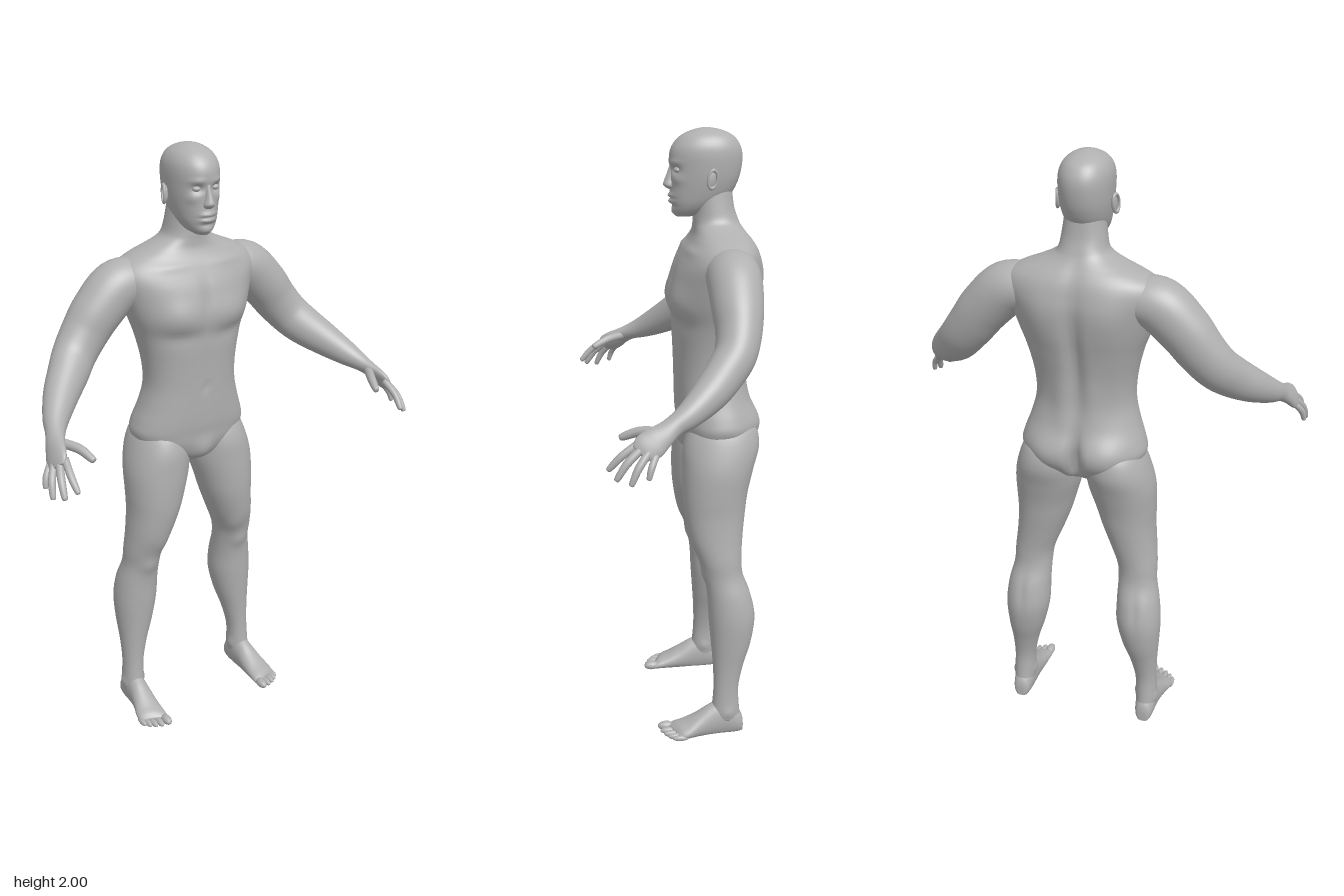
import * as THREE from 'three';

const V = (x, y, z) => new THREE.Vector3(x, y, z);
const TAU = Math.PI * 2;

// Catmull-Rom resampling of a table of section rows
function smooth(rows, k) {
  const out = [], at = i => rows[Math.min(rows.length - 1, Math.max(0, i))];
  for (let i = 0; i < rows.length - 1; i++) {
    const [a, b, c, d] = [at(i - 1), at(i), at(i + 1), at(i + 2)];
    for (let s = 0; s < k; s++) {
      const t = s / k;
      out.push(b.map((p, n) => 0.5 * (2 * p + (c[n] - a[n]) * t
        + (2 * a[n] - 5 * p + 4 * c[n] - d[n]) * t * t
        + (3 * p - a[n] - 3 * c[n] + d[n]) * t * t * t)));
    }
  }
  out.push(rows[rows.length - 1]);
  return out;
}

// Closed skin over a list of rings
function skin(rings) {
  const n = rings[0].length, m = rings.length, index = [];
  const pts = rings.flat();
  for (let j = 0; j < m - 1; j++) {
    for (let i = 0; i < n; i++) {
      const a = j * n + i, b = j * n + (i + 1) % n;
      index.push(a, a + n, b, b, a + n, b + n);
    }
  }
  const middle = ring => ring.reduce((s, p) => s.add(p), V(0, 0, 0)).divideScalar(n);
  pts.push(middle(rings[0]), middle(rings[m - 1]));
  for (let i = 0; i < n; i++) {
    const k = (i + 1) % n, top = (m - 1) * n;
    index.push(m * n, i, k, m * n + 1, top + k, top + i);
  }
  const geo = new THREE.BufferGeometry().setFromPoints(pts);
  geo.setIndex(index);
  geo.computeVertexNormals();
  return geo;
}

// Upright form, rows [y, centreX, halfWidth, frontZ, backZ] from bottom to top
function upright(rows, k, n, power = 2) {
  const e = 2 / power, f = v => Math.sign(v) * Math.abs(v) ** e;
  return skin(smooth(rows, k).map(([y, cx, rx, zf, zb]) => Array.from({ length: n }, (_, i) => {
    const a = i / n * TAU;
    return V(cx + rx * f(Math.cos(a)), y, (zf + zb) / 2 + (zf - zb) / 2 * f(Math.sin(a)));
  })));
}

// Limb along a path, rows [x, y, z, depthRadius, thicknessRadius]
function limb(rows, k, n) {
  const s = smooth(rows, k), p = s.map(r => V(r[0], r[1], r[2]));
  return skin(s.map((r, j) => {
    const t = p[Math.min(j + 1, p.length - 1)].clone().sub(p[Math.max(j - 1, 0)]).normalize();
    const u = V(0, 0, 1).addScaledVector(t, -t.z).normalize();
    const v = u.clone().cross(t);
    return Array.from({ length: n }, (_, i) => p[j].clone()
      .addScaledVector(u, r[3] * Math.cos(i / n * TAU))
      .addScaledVector(v, r[4] * Math.sin(i / n * TAU)));
  }));
}

// Raise or sink soft areas: [x, y, z, spreadX, spreadY, spreadZ, amount]
function sculpt(geo, list) {
  const p = geo.attributes.position, q = geo.attributes.normal;
  for (let i = 0; i < p.count; i++) {
    let d = 0;
    for (const [x, y, z, sx, sy, sz, h] of list) {
      d += h * Math.exp(-(((p.getX(i) - x) / sx) ** 2) - ((p.getY(i) - y) / sy) ** 2 - ((p.getZ(i) - z) / sz) ** 2);
    }
    p.setXYZ(i, p.getX(i) + q.getX(i) * d, p.getY(i) + q.getY(i) * d, p.getZ(i) + q.getZ(i) * d);
  }
  geo.computeVertexNormals();
  return geo;
}
const both = list => list.flatMap(b => b[0] ? [b, [-b[0], ...b.slice(1)]] : [b]);

function mirrored(geo) {
  const g = geo.clone().scale(-1, 1, 1), ix = g.index.array;
  for (let i = 0; i < ix.length; i += 3) [ix[i], ix[i + 1]] = [ix[i + 1], ix[i]];
  g.computeVertexNormals();
  return g;
}

const ball = (x, y, z, rx, ry, rz) => new THREE.SphereGeometry(1, 20, 14).scale(rx, ry, rz).translate(x, y, z);

export function createModel() {
  const model = new THREE.Group();
  model.name = 'standingFigure';
  const skinGrey = new THREE.MeshStandardMaterial({ color: 0xb0b0b0 });
  skinGrey.name = 'skin grey';
  const add = (name, geo) => {
    const mesh = new THREE.Mesh(geo, skinGrey);
    mesh.name = name;
    model.add(mesh);
  };
  const pair = (name, geo) => {
    add('left' + name, geo);
    add('right' + name, mirrored(geo));
  };

  // Torso and neck
  const torso = upright([
    [0.95, 0, 0.04, -0.06, -0.17], [0.975, 0, 0.1, -0.03, -0.22], [1.02, 0, 0.18, -0.015, -0.248],
    [1.06, 0, 0.205, -0.01, -0.258], [1.1, 0, 0.198, -0.005, -0.256], [1.16, 0, 0.177, -0.002, -0.24],
    [1.23, 0, 0.161, 0, -0.227], [1.31, 0, 0.165, 0.003, -0.232], [1.4, 0, 0.185, 0.008, -0.25],
    [1.47, 0, 0.21, 0.014, -0.263], [1.55, 0, 0.235, 0.004, -0.27], [1.6, 0, 0.25, -0.015, -0.265],
    [1.635, 0, 0.235, -0.035, -0.256], [1.66, 0, 0.195, -0.05, -0.243], [1.68, 0, 0.145, -0.058, -0.228],
    [1.7, 0, 0.1, -0.06, -0.214], [1.72, 0, 0.077, -0.06, -0.204], [1.76, 0, 0.068, -0.06, -0.19],
    [1.82, 0, 0.06, -0.05, -0.182]], 5, 96, 2.25);
  add('torso', sculpt(torso, both([
    [0.09, 1.475, 0, 0.075, 0.05, 0.06, 0.014], [0.09, 1.405, 0, 0.07, 0.022, 0.06, -0.006],
    [0, 1.5, 0.01, 0.016, 0.08, 0.05, -0.009], [0, 1.28, 0, 0.014, 0.1, 0.05, -0.004],
    [0, 1.225, 0, 0.01, 0.012, 0.03, -0.006], [0.1, 1.63, -0.04, 0.08, 0.012, 0.04, 0.004],
    [0, 1.42, -0.25, 0.025, 0.2, 0.06, -0.022], [0.1, 1.54, -0.26, 0.06, 0.09, 0.05, 0.01],
    [0.05, 1.25, -0.22, 0.03, 0.09, 0.05, 0.006], [0.09, 1.06, -0.25, 0.07, 0.06, 0.07, 0.022],
    [0, 1.05, -0.26, 0.018, 0.075, 0.06, -0.04], [0, 1.0, -0.02, 0.03, 0.035, 0.05, 0.012]])));

  // Head
  const head = upright([
    [1.73, 0, 0.02, -0.006, -0.06], [1.745, 0, 0.042, 0.004, -0.1], [1.77, 0, 0.058, 0.01, -0.14],
    [1.8, 0, 0.068, 0.013, -0.18], [1.84, 0, 0.076, 0.012, -0.202], [1.88, 0, 0.08, 0.014, -0.212],
    [1.92, 0, 0.081, 0.015, -0.214], [1.95, 0, 0.076, 0.004, -0.205], [1.975, 0, 0.061, -0.02, -0.185],
    [1.992, 0, 0.036, -0.055, -0.15], [2, 0, 0.008, -0.09, -0.11]], 7, 80, 2.15);
  add('head', sculpt(head, both([
    [0.033, 1.874, 0.005, 0.018, 0.012, 0.03, -0.012], [0.033, 1.898, 0.005, 0.024, 0.008, 0.03, 0.004],
    [0.045, 1.845, -0.005, 0.018, 0.015, 0.03, 0.004], [0, 1.795, 0.013, 0.024, 0.007, 0.02, 0.008],
    [0, 1.778, 0.012, 0.021, 0.007, 0.02, 0.008], [0, 1.787, 0.013, 0.026, 0.003, 0.02, -0.006],
    [0, 1.763, 0.01, 0.028, 0.006, 0.02, -0.004], [0, 1.745, 0.004, 0.02, 0.01, 0.02, 0.004]])));
  add('nose', upright([
    [1.815, 0, 0.012, 0.02, -0.01], [1.822, 0, 0.018, 0.03, -0.01], [1.83, 0, 0.018, 0.035, -0.01],
    [1.845, 0, 0.013, 0.03, -0.01], [1.865, 0, 0.01, 0.022, -0.01], [1.895, 0, 0.008, 0.012, -0.01]], 4, 24));
  pair('Eye', ball(0.033, 1.875, -0.006, 0.014, 0.009, 0.012));

  // Ears: a flat shell with a raised rim
  const place = g => g.rotateX(-0.15).rotateY(0.3).translate(0.084, 1.85, -0.105);
  pair('Ear', place(ball(0, 0, 0, 0.007, 0.027, 0.015)));
  pair('EarRim', place(new THREE.TorusGeometry(0.021, 0.0045, 8, 28).rotateY(Math.PI / 2)
    .scale(1.2, 1.3, 0.75).translate(0.006, 0, 0)));

  // Arms running into the palms
  pair('Arm', limb([
    [0.16, 1.582, -0.148, 0.08, 0.07], [0.24, 1.568, -0.15, 0.084, 0.084], [0.315, 1.5, -0.147, 0.079, 0.082],
    [0.365, 1.437, -0.142, 0.07, 0.077], [0.41, 1.382, -0.125, 0.064, 0.072], [0.45, 1.34, -0.09, 0.06, 0.068],
    [0.505, 1.293, -0.035, 0.053, 0.057], [0.555, 1.25, 0.03, 0.04, 0.042], [0.582, 1.225, 0.08, 0.031, 0.029],
    [0.6, 1.205, 0.115, 0.036, 0.022], [0.612, 1.186, 0.145, 0.043, 0.019], [0.62, 1.172, 0.168, 0.041, 0.015],
    [0.626, 1.162, 0.182, 0.028, 0.008]], 6, 48));

  // Fingers and thumb
  const digit = (base, mid, tip, r) => {
    const near = tip.clone().lerp(mid, 0.12);
    return limb([[...base, r, r], [...mid, r, r], [...near, r * 0.75, r * 0.75], [...tip, r * 0.2, r * 0.2]], 5, 16);
  };
  const fingers = [
    ['IndexFinger', V(0.602, 1.186, 0.183), V(0.609, 1.152, 0.232), V(0.606, 1.11, 0.272), 0.0115],
    ['MiddleFinger', V(0.616, 1.177, 0.173), V(0.633, 1.139, 0.218), V(0.64, 1.09, 0.252), 0.012],
    ['RingFinger', V(0.627, 1.167, 0.157), V(0.65, 1.128, 0.189), V(0.66, 1.08, 0.212), 0.0115],
    ['LittleFinger', V(0.632, 1.157, 0.138), V(0.652, 1.128, 0.153), V(0.66, 1.095, 0.162), 0.01],
    ['Thumb', V(0.585, 1.21, 0.115), V(0.551, 1.203, 0.175), V(0.53, 1.18, 0.23), 0.0145]];
  for (const [name, base, mid, tip, r] of fingers) pair(name, digit(base, mid, tip, r));

  // Legs
  const leg = upright([
    [0.05, 0.23, 0.035, -0.09, -0.198], [0.1, 0.229, 0.037, -0.1, -0.192], [0.17, 0.226, 0.037, -0.105, -0.19],
    [0.25, 0.218, 0.047, -0.103, -0.207], [0.33, 0.208, 0.063, -0.097, -0.232], [0.42, 0.2, 0.075, -0.09, -0.245],
    [0.5, 0.195, 0.072, -0.085, -0.232], [0.57, 0.187, 0.065, -0.075, -0.205], [0.63, 0.182, 0.067, -0.056, -0.2],
    [0.7, 0.165, 0.077, -0.03, -0.205], [0.78, 0.147, 0.089, -0.015, -0.215], [0.85, 0.137, 0.1, -0.01, -0.225],
    [0.93, 0.125, 0.11, -0.01, -0.245], [1, 0.115, 0.104, -0.014, -0.264], [1.06, 0.107, 0.088, -0.035, -0.255],
    [1.1, 0.1, 0.06, -0.07, -0.22]], 5, 56, 2.1);
  pair('Leg', sculpt(leg, [
    [0.187, 0.575, -0.075, 0.03, 0.03, 0.03, 0.008], [0.15, 0.66, -0.06, 0.03, 0.04, 0.04, 0.006],
    [0.2, 0.49, -0.24, 0.012, 0.07, 0.03, -0.005], [0.187, 0.09, -0.14, 0.02, 0.016, 0.02, 0.007],
    [0.27, 0.08, -0.15, 0.02, 0.016, 0.02, 0.007]]));

  // Feet, rows [z, centreX, halfWidth, height], slanted towards the toes
  const foot = skin(smooth([
    [-0.206, 0.23, 0.012, 0.04], [-0.198, 0.23, 0.026, 0.066], [-0.17, 0.23, 0.034, 0.1],
    [-0.13, 0.23, 0.036, 0.115], [-0.09, 0.232, 0.038, 0.1], [-0.05, 0.235, 0.043, 0.074],
    [-0.01, 0.239, 0.048, 0.05], [0.02, 0.24, 0.049, 0.036], [0.037, 0.24, 0.044, 0.022]], 5)
    .map(([z, cx, rx, h]) => Array.from({ length: 40 }, (_, i) => {
      const a = i / 40 * TAU, dx = rx * Math.cos(a), slant = Math.max(0, z + 0.05) / 0.085;
      return V(cx + dx, Math.max(0, h * 0.42 - h * 0.58 * Math.sin(a)), z - dx * 0.4 * slant);
    })));
  pair('Foot', foot);

  // Toes, from big to little: [x, tipZ, radius]
  const toes = [[0.206, 0.085, 0.0155], [0.231, 0.079, 0.0115], [0.251, 0.07, 0.011], [0.268, 0.058, 0.0105], [0.282, 0.043, 0.01]];
  toes.forEach(([x, z, r], i) => pair('Toe' + (i + 1), ball(x, r, z - 0.028, r, r, 0.028)));

  return model;
}
